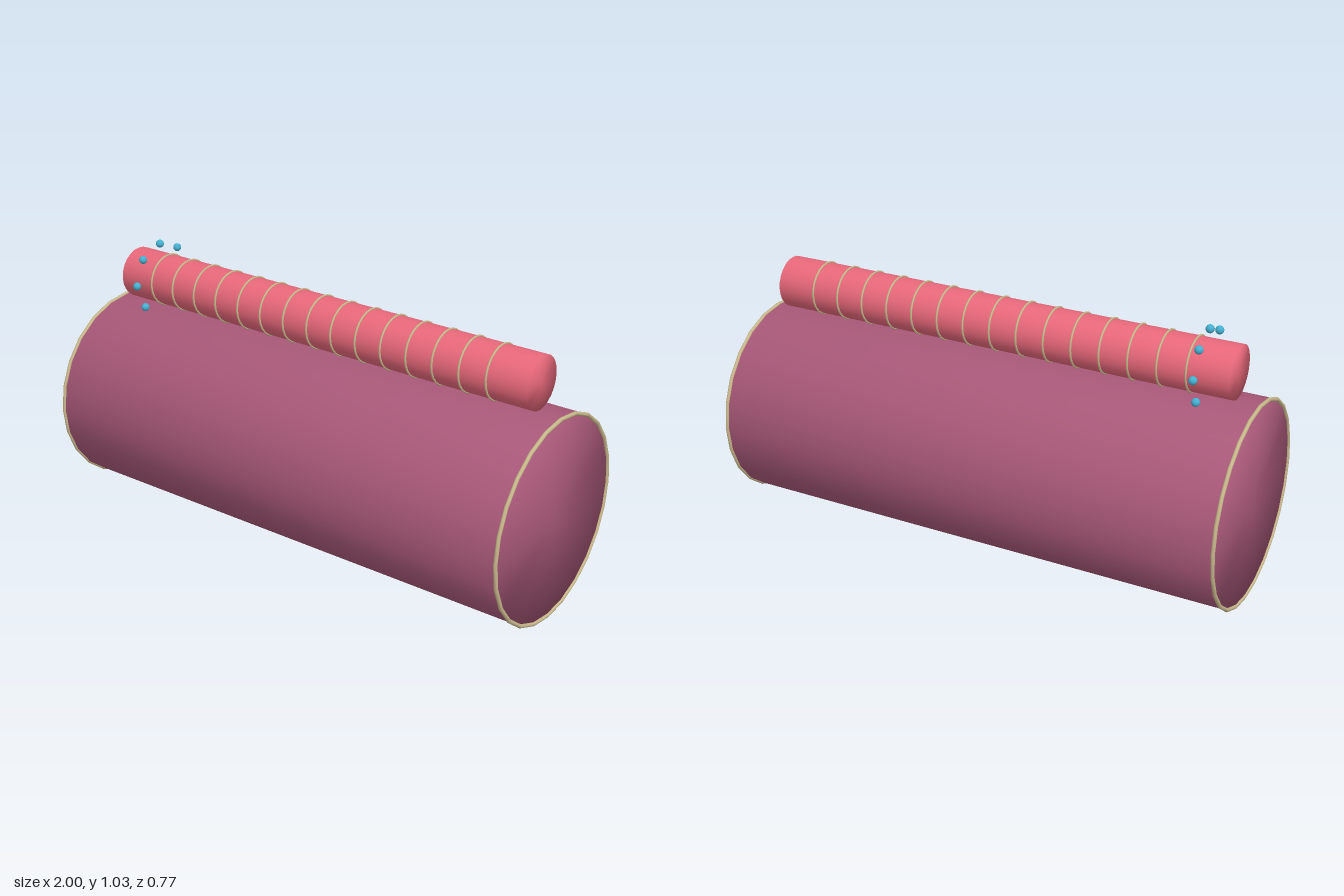
import * as THREE from 'three';
import { mergeVertices } from 'three/addons/utils/BufferGeometryUtils.js';

const SIDES = 24;
const plum = new THREE.MeshStandardMaterial({ color: 0xa85878 });
const pink = new THREE.MeshStandardMaterial({ color: 0xe8687a });
const gold = new THREE.MeshStandardMaterial({ color: 0xc9b88c });
const blue = new THREE.MeshStandardMaterial({ color: 0x45b0d0 });

function add(parent, name, geometry, material, x, y, z = 0) {
  const mesh = new THREE.Mesh(geometry, material);
  mesh.name = name;
  mesh.position.set(x, y, z);
  parent.add(mesh);
  return mesh;
}

// Closed cylinder along x, with normals blended softly over the end edges
function softCylinder(radius, length) {
  let geometry = new THREE.CylinderGeometry(radius, radius, length, SIDES);
  geometry.deleteAttribute('uv');
  geometry.deleteAttribute('normal');
  geometry = mergeVertices(geometry, 1e-4);
  geometry.computeVertexNormals();
  return geometry.rotateZ(Math.PI / 2);
}

// Thin hoop around the x axis
const hoop = (radius, tube) =>
  new THREE.TorusGeometry(radius, tube, 8, SIDES).rotateY(Math.PI / 2);

export function createModel() {
  const model = new THREE.Group();
  model.name = 'stackedCylinders';

  // Large drum with a rim at each end
  const drumY = 0.387;
  add(model, 'drum', softCylinder(0.38, 1.985), plum, 0, drumY);
  const rim = hoop(0.379, 0.0075);
  for (const side of [-1, 1]) add(model, 'drumRim', rim, gold, side * 0.9925, drumY);

  // Slim roller lying on top, wrapped in evenly spaced bands
  const rollerY = 0.877;
  add(model, 'roller', softCylinder(0.098, 1.824), pink, 0, rollerY);
  const band = hoop(0.0995, 0.004);
  for (let i = -7; i <= 7; i++) add(model, 'rollerBand', band, gold, i * 0.108, rollerY);

  // Circle of beads floating around one end of the roller
  const bead = new THREE.SphereGeometry(0.0155, 16, 12);
  for (let i = 0; i < 8; i++) {
    const a = (i * Math.PI) / 4;
    add(model, 'bead', bead, blue, -0.797, rollerY + 0.137 * Math.cos(a), 0.137 * Math.sin(a));
  }

  return model;
}
